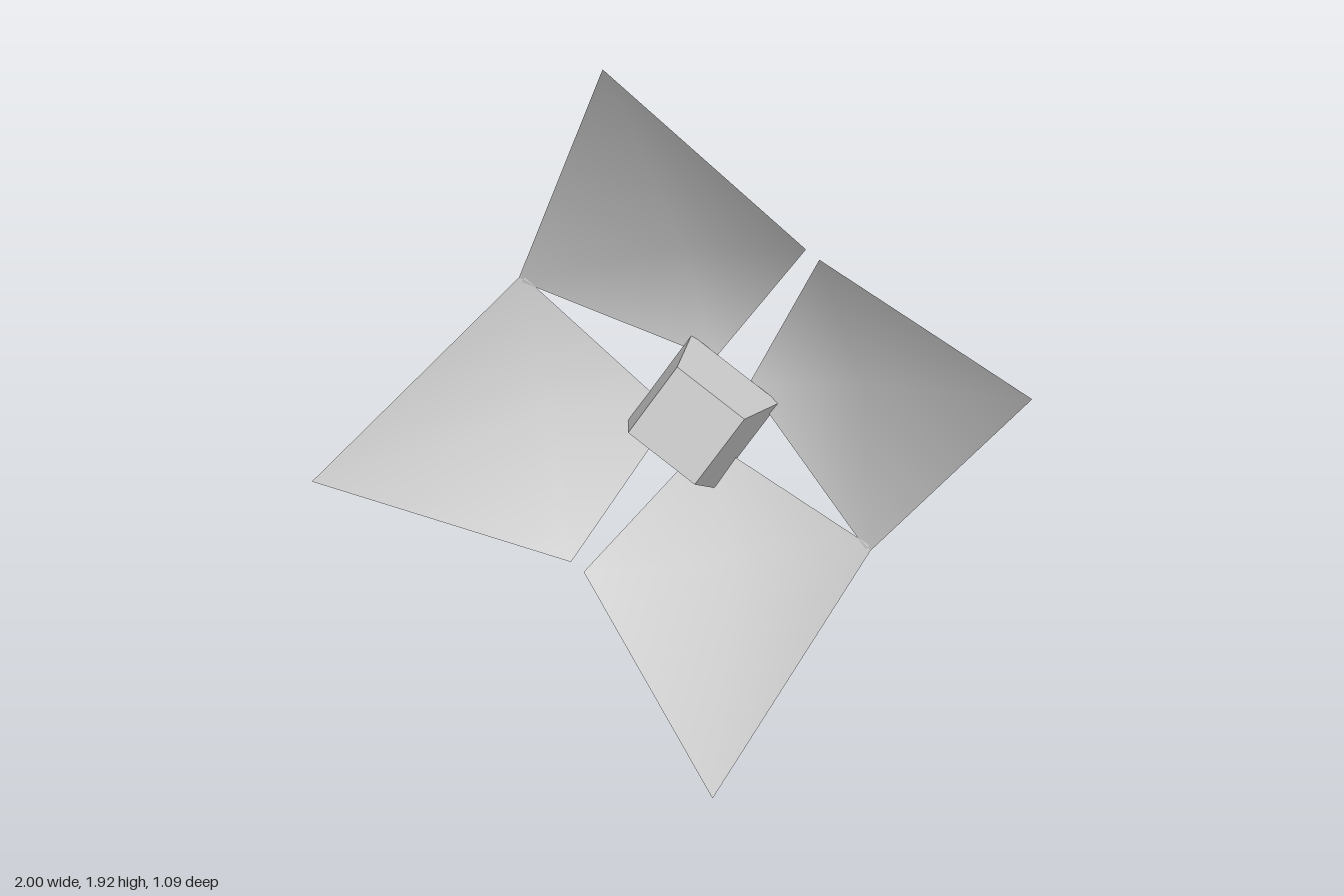
import * as THREE from 'three';

const grey = { color: 0xcccccc };

// One folded petal: four outer corners around a sunken middle point.
function petalGeometry() {
  const geo = new THREE.BufferGeometry();
  geo.setAttribute('position', new THREE.Float32BufferAttribute([
    0, 0, -1.04,          // tip
    -0.48, -0.494, -0.465, // corner touching the neighbour
    0.03, -0.758, -0.124, // inner corner
    0.41, -0.468, -0.445, // corner beside the gap
    0, -0.69, -0.485,     // sunken middle
  ], 3));
  geo.setIndex([0, 1, 4, 1, 2, 4, 2, 3, 4, 3, 0, 4]);
  geo.computeVertexNormals();
  return geo;
}

export function createModel() {
  const model = new THREE.Group();
  model.name = 'flower';

  // Tilted frame: y runs along the flower's axis, -z towards the top petal
  const flower = new THREE.Group();
  flower.name = 'flowerHead';
  const axis = new THREE.Vector3(0.104, 0.325, 0.94).normalize();
  const side = new THREE.Vector3(0.9615, 0.207, -0.178);
  side.addScaledVector(axis, -side.dot(axis)).normalize();
  const down = new THREE.Vector3().crossVectors(side, axis);
  flower.quaternion.setFromRotationMatrix(new THREE.Matrix4().makeBasis(side, axis, down));
  flower.position.set(0, 0.953, 0.245);
  model.add(flower);

  // Two mirrored pairs of petals
  const petalGeo = petalGeometry();
  const petalMat = new THREE.MeshStandardMaterial({ ...grey, side: THREE.DoubleSide });
  for (let i = 0; i < 4; i++) {
    const petal = new THREE.Mesh(petalGeo, petalMat);
    petal.name = 'petal' + (i + 1);
    petal.rotation.y = -i * Math.PI / 2;
    if (i % 2) petal.scale.x = -1;
    flower.add(petal);
  }

  // Tapered square block in the middle
  const block = new THREE.Mesh(
    new THREE.CylinderGeometry(0.18, 0.243, 0.262, 4),
    new THREE.MeshStandardMaterial({ ...grey, flatShading: true })
  );
  block.name = 'centreBlock';
  block.position.set(-0.025, -0.6, 0.033);
  flower.add(block);

  return model;
}
